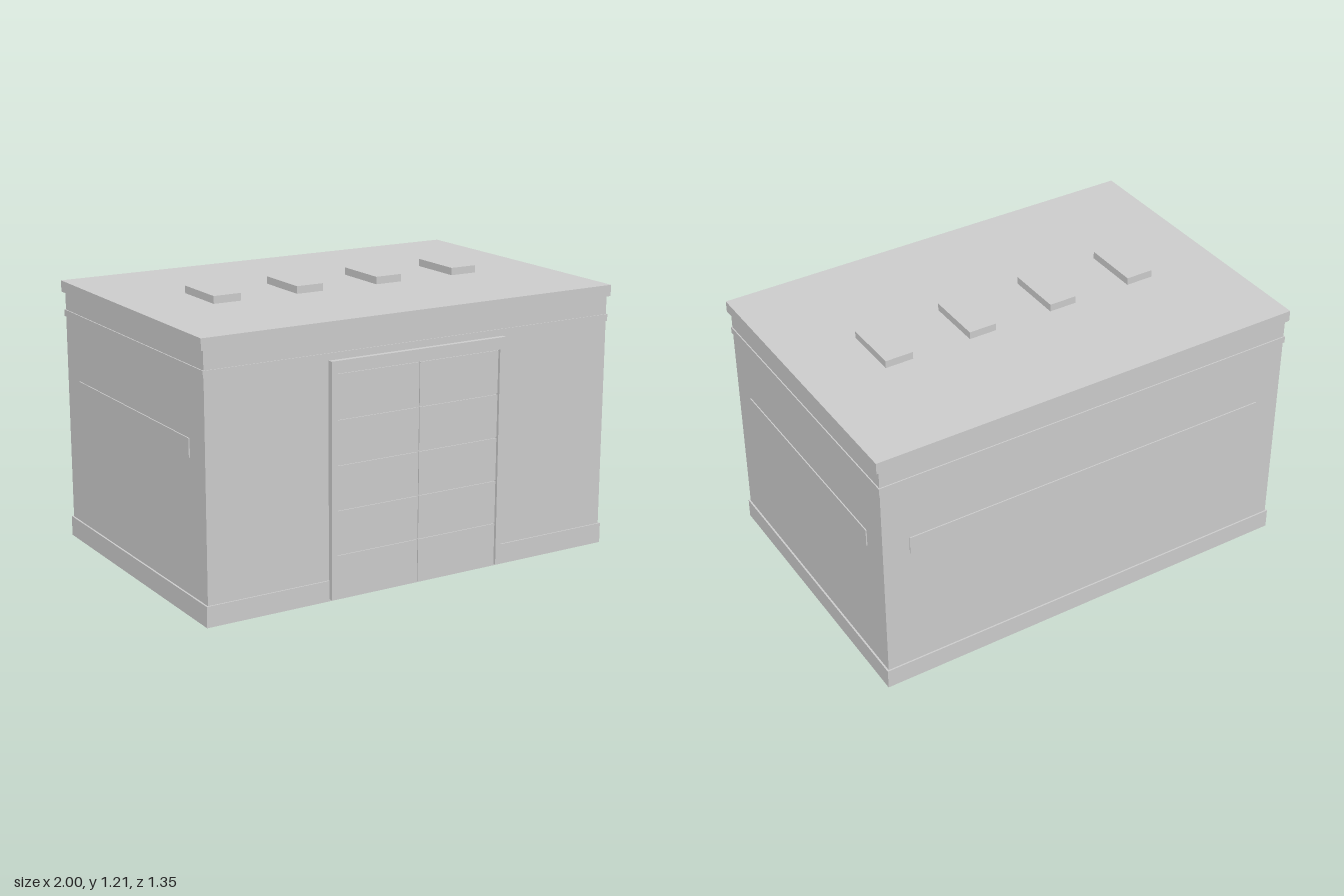
import * as THREE from 'three';

export function createModel() {
  const group = new THREE.Group();
  const grey = new THREE.MeshStandardMaterial({ color: 0xcccccc });
  grey.name = 'plain grey';

  // Box given by its lower and upper limits on each axis
  function box(name, x0, x1, y0, y1, z0, z1, parent = group) {
    const mesh = new THREE.Mesh(new THREE.BoxGeometry(x1 - x0, y1 - y0, z1 - z0), grey);
    mesh.name = name;
    mesh.position.set((x0 + x1) / 2, (y0 + y1) / 2, (z0 + z1) / 2);
    parent.add(mesh);
    return mesh;
  }

  // Building shell
  box('walls', -0.986, 0.986, 0.01, 1.14, -0.665, 0.65);
  box('baseSkirt', -0.994, 0.994, 0, 0.09, -0.672, 0.656);
  box('upperBand', -0.991, 0.991, 1.02, 1.05, -0.67, 0.654);
  box('roof', -1, 1, 1.13, 1.18, -0.675, 0.66);

  // Thin rails on the two sides and the back
  for (const s of [-1, 1]) {
    const x = s * 0.986;
    box(s < 0 ? 'rightRail' : 'leftRail', x - 0.005, x + 0.005, 0.67, 0.75, -0.535, 0.52);
  }
  box('backRail', -0.865, 0.865, 0.67, 0.75, -0.67, -0.66);

  // Roof skylights
  for (const x of [-0.597, -0.199, 0.199, 0.597]) {
    box('skylight', x - 0.064, x + 0.064, 1.17, 1.213, -0.139, 0.121);
  }

  // Double door: backing sheet with two columns of five panels
  const door = new THREE.Group();
  door.name = 'door';
  group.add(door);
  box('doorBacking', -0.405, 0.405, 0.005, 0.97, 0.64, 0.658, door);
  const rowHeight = 0.192;
  for (let row = 0; row < 5; row++) {
    const y = 0.008 + row * rowHeight;
    for (const s of [-1, 1]) {
      const edges = [s * 0.004, s * 0.4].sort((a, b) => a - b);
      box('doorPanel', edges[0], edges[1], y, y + rowHeight - 0.006, 0.65, 0.663, door);
    }
  }

  // Door frame
  box('rightDoorPost', -0.427, -0.4, 0.01, 0.97, 0.64, 0.676);
  box('leftDoorPost', 0.4, 0.427, 0.01, 0.97, 0.64, 0.676);
  box('doorLintel', -0.428, 0.428, 0.968, 1.02, 0.64, 0.676);

  return group;
}
